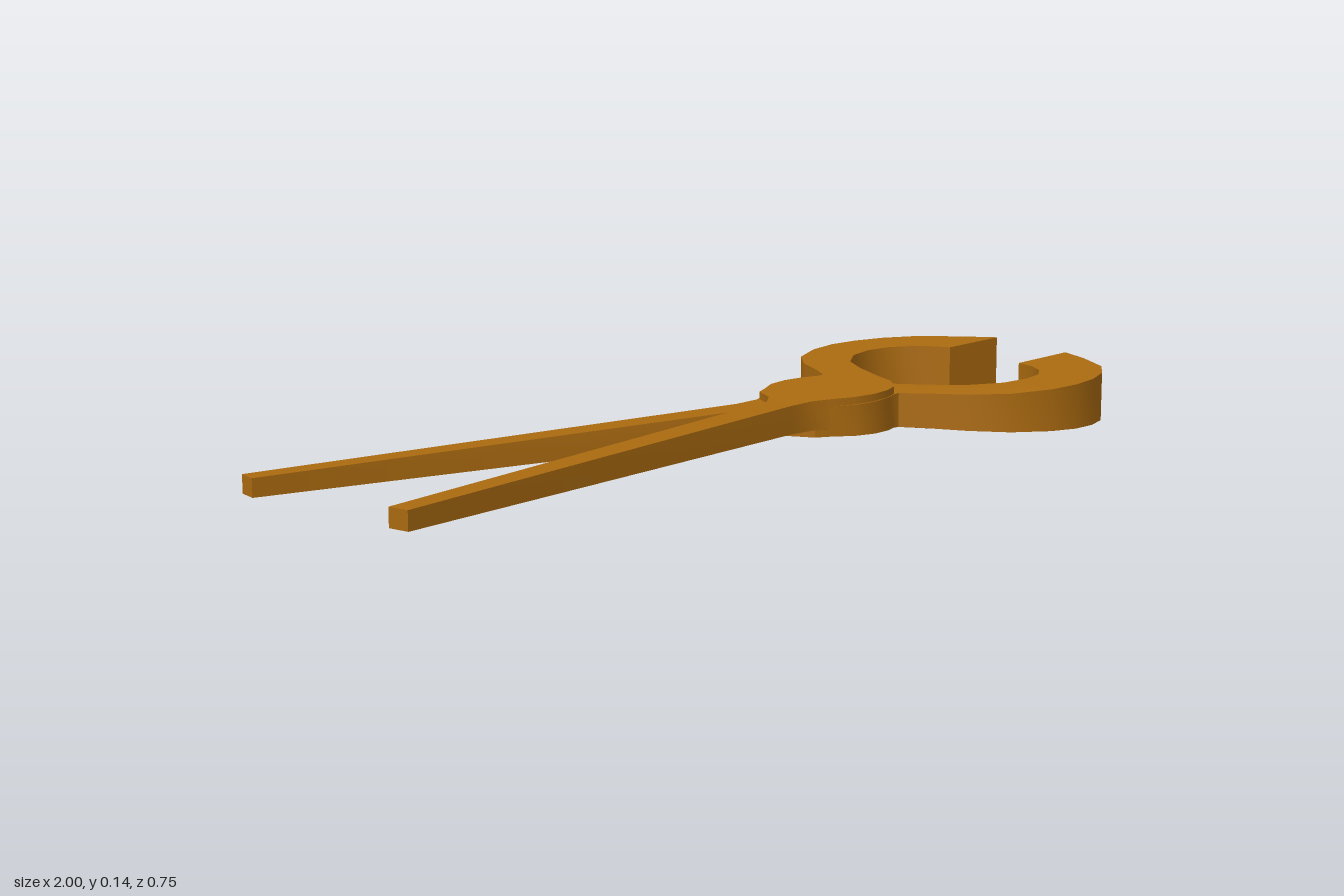
import * as THREE from 'three';
import { toCreasedNormals } from 'three/addons/utils/BufferGeometryUtils.js';

// Plan outline of one arm: [x, depth], handle tip -> pivot -> jaw -> back
const outline = [
  [-1, -0.223], [0.1, -0.01], [0.14, 0.025], [0.17, 0.085], [0.2, 0.1], [0.25, 0.13], [0.3, 0.138], [0.35, 0.13],
  [0.385, 0.115], [0.4, 0.115], [0.435, 0.17], [0.475, 0.25], [0.535, 0.32], [0.62, 0.362],
  [0.695, 0.373], [0.765, 0.363], [0.835, 0.335], [0.9, 0.285], [0.96, 0.19], [1, 0.105],
  [0.825, 0.105], [0.81, 0.155], [0.78, 0.2], [0.74, 0.23], [0.685, 0.241], [0.62, 0.228],
  [0.555, 0.178], [0.51, 0.105], [0.46, 0], [0.435, -0.06], [0.39, -0.11], [0.35, -0.128],
  [0.3, -0.134], [0.25, -0.125], [0.2, -0.1], [0.16, -0.085], [0.1, -0.085], [-0.993, -0.27],
];

// Height profiles along x: [x, y]
const under = [[-1, 0.018], [0.2, 0.028], [0.46, 0.027], [0.7, 0.021], [1, 0.016]];
const upper = [[-1, 0.055], [0.1, 0.088], [0.46, 0.105], [0.7, 0.12], [1, 0.135]];

function sample(profile, x) {
  for (let i = 1; i < profile.length; i++) {
    const [x0, y0] = profile[i - 1], [x1, y1] = profile[i];
    if (x <= x1) return THREE.MathUtils.mapLinear(x, x0, x1, y0, y1);
  }
  return profile[profile.length - 1][1];
}

// One arm; side mirrors it in depth, drop lowers it
function makeArm(name, side, drop, material) {
  const shape = new THREE.Shape(outline.map(([x, d]) => new THREE.Vector2(x, d * side)));
  const geo = new THREE.ExtrudeGeometry(shape, { depth: 1, bevelEnabled: false });
  geo.rotateX(-Math.PI / 2);
  // taper the thickness from the thin handle to the deep jaw
  const pos = geo.attributes.position;
  for (let i = 0; i < pos.count; i++) {
    const x = pos.getX(i);
    pos.setY(i, sample(pos.getY(i) > 0.5 ? upper : under, x) - drop);
  }
  const mesh = new THREE.Mesh(toCreasedNormals(geo, 0.6), material);
  mesh.name = name;
  return mesh;
}

export function createModel() {
  const group = new THREE.Group();
  group.name = 'tongs';
  const material = new THREE.MeshStandardMaterial({ color: 0xaa6a10 });
  group.add(makeArm('upperArm', 1, 0, material));
  group.add(makeArm('lowerArm', -1, 0.016, material));
  return group;
}
